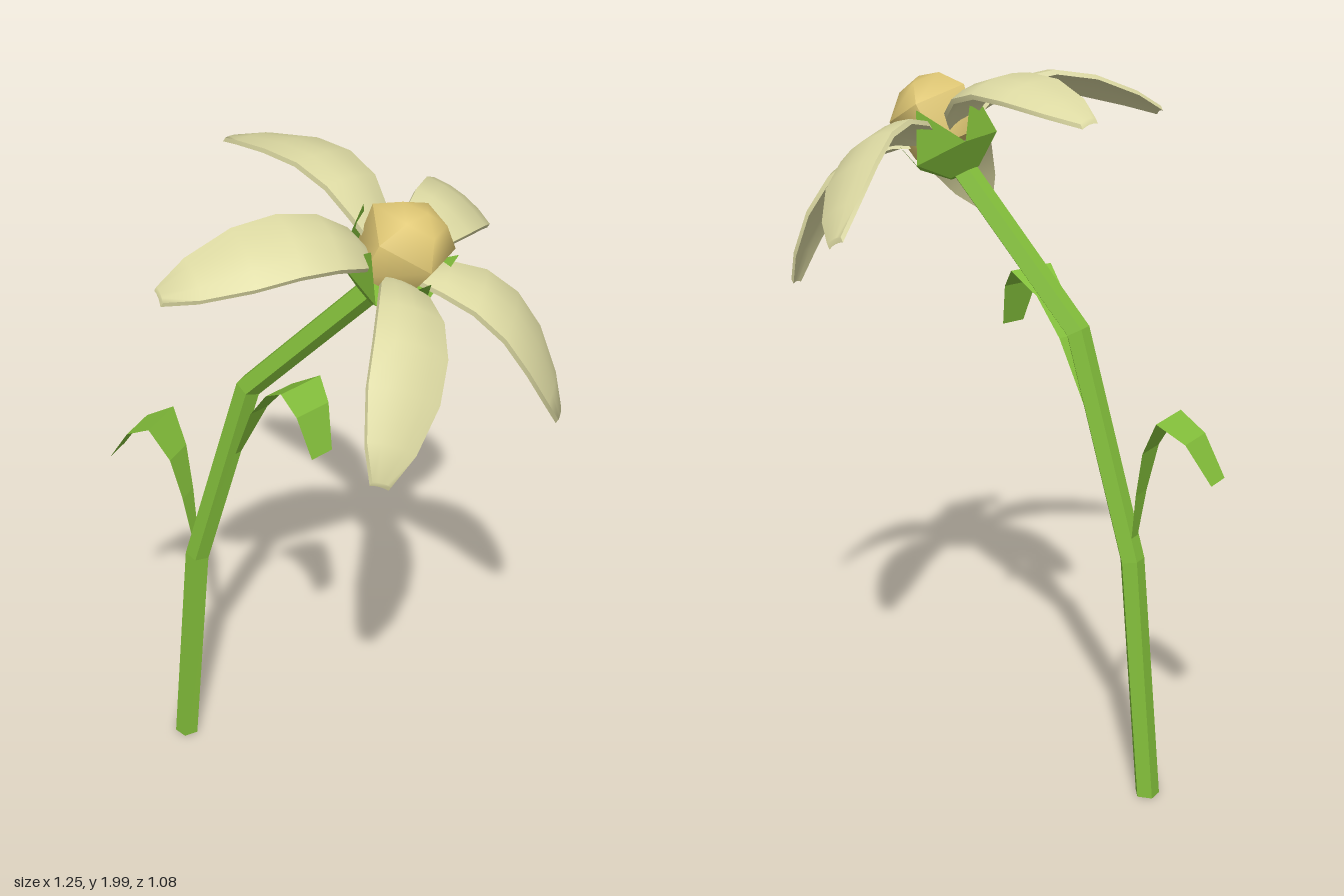
import * as THREE from 'three';
import { toCreasedNormals } from 'three/addons/utils/BufferGeometryUtils.js';

const green = new THREE.MeshStandardMaterial({ color: 0x84c03b, side: THREE.DoubleSide });
green.name = 'leaf green';
const cream = new THREE.MeshStandardMaterial({ color: 0xdcd9a2 });
cream.name = 'petal cream';
const yellow = new THREE.MeshStandardMaterial({ color: 0xdec673 });
yellow.name = 'pollen yellow';

const FLAT = 0.01;

// Skin a list of cross-sections, each listed counter-clockwise seen from the far end.
function skin(rings, crease, closed = true) {
  const n = rings[0].length, index = [];
  const loops = closed ? n : n - 1;
  for (let i = 0; i < rings.length - 1; i++) {
    for (let j = 0; j < loops; j++) {
      const k = (j + 1) % n, a = i * n, d = a + n;
      index.push(a + j, a + k, d + k, a + j, d + k, d + j);
    }
  }
  if (closed) {
    const e = (rings.length - 1) * n;
    for (let j = 1; j < n - 1; j++) index.push(0, j + 1, j, e, e + j, e + j + 1);
  }
  const g = new THREE.BufferGeometry();
  g.setAttribute('position', new THREE.Float32BufferAttribute(rings.flat(2), 3));
  g.setIndex(index);
  g.computeVertexNormals();
  return toCreasedNormals(g, crease);
}

function part(name, geometry, material) {
  const m = new THREE.Mesh(geometry, material);
  m.name = name;
  return m;
}

// Point around the head axis, and a five-sided ring of such points
const polar = (r, h, deg) => {
  const a = THREE.MathUtils.degToRad(deg);
  return [r * Math.cos(a), h, r * Math.sin(a)];
};
const ring = (r, h, start) => [0, 1, 2, 3, 4].map(k => polar(r, h, start - 72 * k));

// Five-sided stem bending in the xy plane
function stemGeometry() {
  const z = 0.047, r = 0.035;
  const path = [[-0.436, 0], [-0.37, 0.7], [-0.19, 1.315], [0.21, 1.75]];
  const dirs = [[0, 1], [0.18, 0.98], [0.49, 0.87], [0.68, 0.73]];
  return skin(path.map(([x, y], i) => {
    const [tx, ty] = dirs[i];
    return [0, 1, 2, 3, 4].map(k => {
      const a = k * Math.PI * 0.4, c = r * Math.cos(a);
      return [x + ty * c, y - tx * c, z - r * Math.sin(a)];
    });
  }), FLAT);
}

// Leaf: flat ribbon, stations are [distance out, height, width]
function leaf(name, stations, position, turn) {
  const rows = stations.map(([x, y, w]) => [[x, y, w / 2], [x, y, -w / 2]]);
  const m = part(name, skin(rows, FLAT, false), green);
  m.position.set(...position);
  m.rotation.y = turn;
  return m;
}

// Petal: thin arched blade along +x, stations are [radius, height, width]
function petalGeometry() {
  const stations = [
    [0.06, -0.03, 0.05], [0.13, 0.005, 0.13], [0.22, 0.02, 0.175], [0.32, 0.0, 0.195],
    [0.42, -0.055, 0.19], [0.52, -0.135, 0.13], [0.58, -0.195, 0.05],
  ];
  const across = [-1, -0.5, 0, 0.5, 1], thick = 0.014;
  return skin(stations.map(([r, h, w]) => {
    const top = across.map(s => [r, h + 0.09 * w * (1 - s * s), s * w / 2]);
    const under = top.map(([x, y, z]) => [x, y - thick, z]).reverse();
    return [...top, ...under];
  }), 0.75);
}

export function createModel() {
  const model = new THREE.Group();
  model.name = 'flower';
  model.add(part('stem', stemGeometry(), green));

  model.add(leaf('lowerLeaf', [
    [0, 0, 0.02], [0.025, 0.2, 0.06], [0.05, 0.33, 0.09],
    [0.1, 0.43, 0.135], [0.18, 0.385, 0.11], [0.25, 0.28, 0.075],
  ], [-0.37, 0.7, 0.045], Math.PI));
  model.add(leaf('upperLeaf', [
    [0, 0, 0.02], [0.09, 0.18, 0.06], [0.17, 0.28, 0.09],
    [0.255, 0.335, 0.135], [0.3, 0.28, 0.11], [0.335, 0.16, 0.07],
  ], [-0.22, 1.1, 0.06], -0.36));

  // Head, leaning toward +x
  const head = new THREE.Group();
  head.name = 'flowerHead';
  head.position.set(0.24, 1.82, 0.047);
  head.rotation.z = -Math.PI / 6;
  model.add(head);

  head.add(part('calyx', skin([ring(0.045, -0.145, 0), ring(0.127, -0.082, 0)], FLAT), green));

  // Pointed sepals rising from each edge of the calyx
  for (let k = 0; k < 5; k++) {
    const a = 36 + 72 * k;
    const rows = [
      [polar(0.127, -0.082, a + 36), polar(0.127, -0.082, a - 36)],
      [polar(0.14, 0.042, a + 0.5), polar(0.14, 0.042, a - 0.5)],
    ];
    head.add(part('sepal', skin(rows, FLAT, false), green));
  }

  // Domed centre
  head.add(part('centre', skin([
    ring(0.1, -0.06, 180), ring(0.122, 0.06, 180), ring(0.065, 0.12, 180), ring(0.002, 0.138, 180),
  ], 1.4), yellow));

  const petal = petalGeometry();
  for (let k = 0; k < 5; k++) {
    const m = part('petal', petal, cream);
    m.rotation.y = -THREE.MathUtils.degToRad(-16 + 72 * k);
    head.add(m);
  }
  return model;
}
